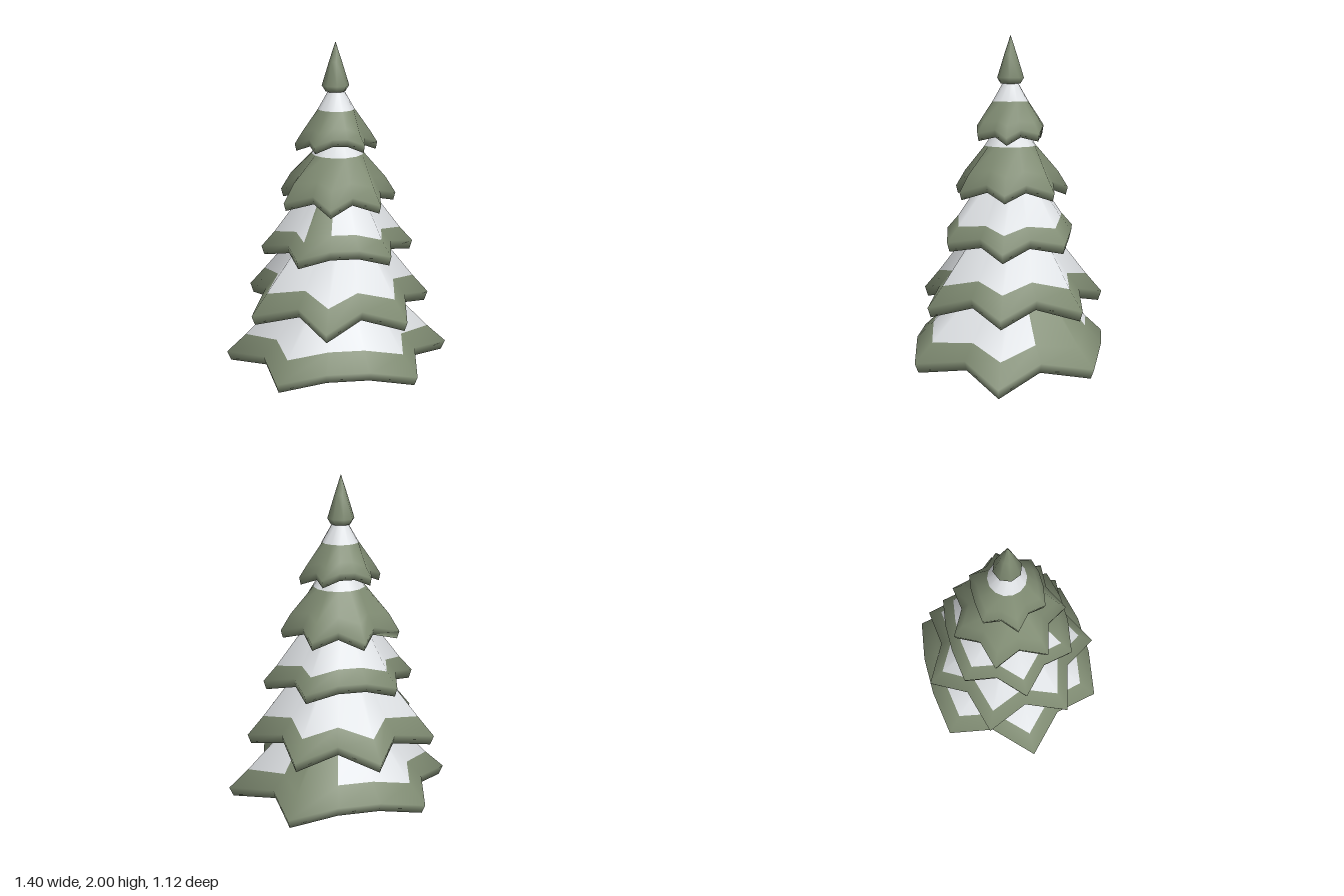
import * as THREE from 'three';

const green = new THREE.MeshStandardMaterial({ color: 0x808c73 });
green.name = 'needle green';
const white = new THREE.MeshStandardMaterial({ color: 0xdfe2e5 });
white.name = 'snow white';
const brown = new THREE.MeshStandardMaterial({ color: 0x6d5b51 });
brown.name = 'bark brown';

const N = 14; // corners around each tier

// Half outlines (radius and lift of the rim), mirrored front to back
const WIDE = {
  r: [1, 0.72, 0.945, 0.82, 0.82, 0.945, 0.755, 1],
  lift: [0, 0.07, 0.03, 0.1, 0.1, 0.03, 0.07, 0],
};
const STAR = {
  r: [1, 0.755, 1, 0.755, 1, 0.755, 1.045, 0.78],
  lift: [0, 0.07, 0, 0.07, 0, 0.07, 0, 0.07],
};

// Joins successive rings of points; whiteAt(band, segment) chooses snow faces
function loft(rings, whiteAt) {
  const faces = [[], []];
  for (let k = 0; k < rings.length - 1; k++) {
    for (let i = 0; i < N; i++) {
      const j = (i + 1) % N;
      const a = k * N + i, b = k * N + j, c = b + N, d = a + N;
      faces[whiteAt(k, i) ? 1 : 0].push(a, d, b, b, d, c);
    }
  }
  const g = new THREE.BufferGeometry();
  g.setAttribute('position', new THREE.Float32BufferAttribute(rings.flat(2), 3));
  g.setIndex([...faces[0], ...faces[1]]);
  g.addGroup(0, faces[0].length, 0);
  g.addGroup(faces[0].length, faces[1].length, 1);
  g.computeVertexNormals();
  return g;
}

// radius and height are functions of the corner index
function ring(radius, height) {
  return Array.from({ length: N }, (_, i) => {
    const a = (i / N) * Math.PI * 2;
    const m = Math.min(i, N - i);
    return [Math.cos(a) * radius(m), height(m), Math.sin(a) * radius(m)];
  });
}

// One smooth skin from the hollow underside, round the rim and up to the top
function makeTier({ name, shape, size, y, lip, rise, liftScale, circles, bare = [], x = 0 }) {
  const outline = (s) => (m) => shape.r[m] * size * s;
  const level = (dy, slope = 0) => (m) => y + shape.lift[m] * liftScale + dy + slope * shape.r[m];
  const circle = ([r, h]) => ring(() => r, () => h);
  const topY = circles[circles.length - 1][1];

  const rings = [
    circle([size * 0.1, y + 0.6 * (topY - y)]),
    ring(outline(0.72), level(0, rise * 1.1)),
    ring(outline(0.965), level(0)),
    ring(outline(1), level(lip)),
    ring(outline(0.825), level(lip, rise)),
    ...circles.map(circle),
  ];

  // Snow lies on the last band, apart from any bare segments
  const last = rings.length - 2;
  const geo = loft(rings, (k, i) => k === last && !bare.includes(i));
  const mesh = new THREE.Mesh(geo, [green, white]);
  mesh.name = name;
  mesh.position.x = x;
  return mesh;
}

const TIERS = [
  { name: 'bottomTier', shape: WIDE, size: 0.7, y: 0.024, lip: 0.058, rise: 0.115, liftScale: 1,
    circles: [[0.15, 0.65]], bare: [11, 12] },
  { name: 'secondTier', shape: STAR, size: 0.573, y: 0.374, lip: 0.058, rise: 0.117, liftScale: 1,
    circles: [[0.12, 1.0]] },
  { name: 'thirdTier', shape: WIDE, size: 0.465, y: 0.724, lip: 0.055, rise: 0.092, liftScale: 0.8,
    circles: [[0.1, 1.25]], bare: [4] },
  { name: 'fourthTier', shape: STAR, size: 0.353, y: 1.045, lip: 0.047, rise: 0.1, liftScale: 0.7,
    circles: [[0.155, 1.35], [0.06, 1.5]] },
  { name: 'topTier', shape: WIDE, size: 0.245, y: 1.366, lip: 0.043, rise: 0.068, liftScale: 0.6,
    circles: [[0.108, 1.612], [0.04, 1.73]], x: -0.008 },
];

// Eight-sided turned part from [radius, height] pairs
function turned(name, profile, material, x = 0) {
  const points = profile.map(([r, h]) => new THREE.Vector2(r, h));
  const mesh = new THREE.Mesh(new THREE.LatheGeometry(points, 8), material);
  mesh.name = name;
  mesh.position.x = x;
  return mesh;
}

export function createModel() {
  const tree = new THREE.Group();
  tree.name = 'snowyTree';
  TIERS.forEach((t) => tree.add(makeTier(t)));

  // Flared trunk and pointed tip with a tucked-in base
  tree.add(turned('trunk',
    [[0, 0], [0.13, 0], [0.1, 0.11], [0.082, 0.22], [0.075, 0.45]], brown));
  tree.add(turned('treeTip',
    [[0, 1.715], [0.058, 1.715], [0.08, 1.75], [0.038, 1.885], [0, 2]], green, -0.012));

  return tree;
}
